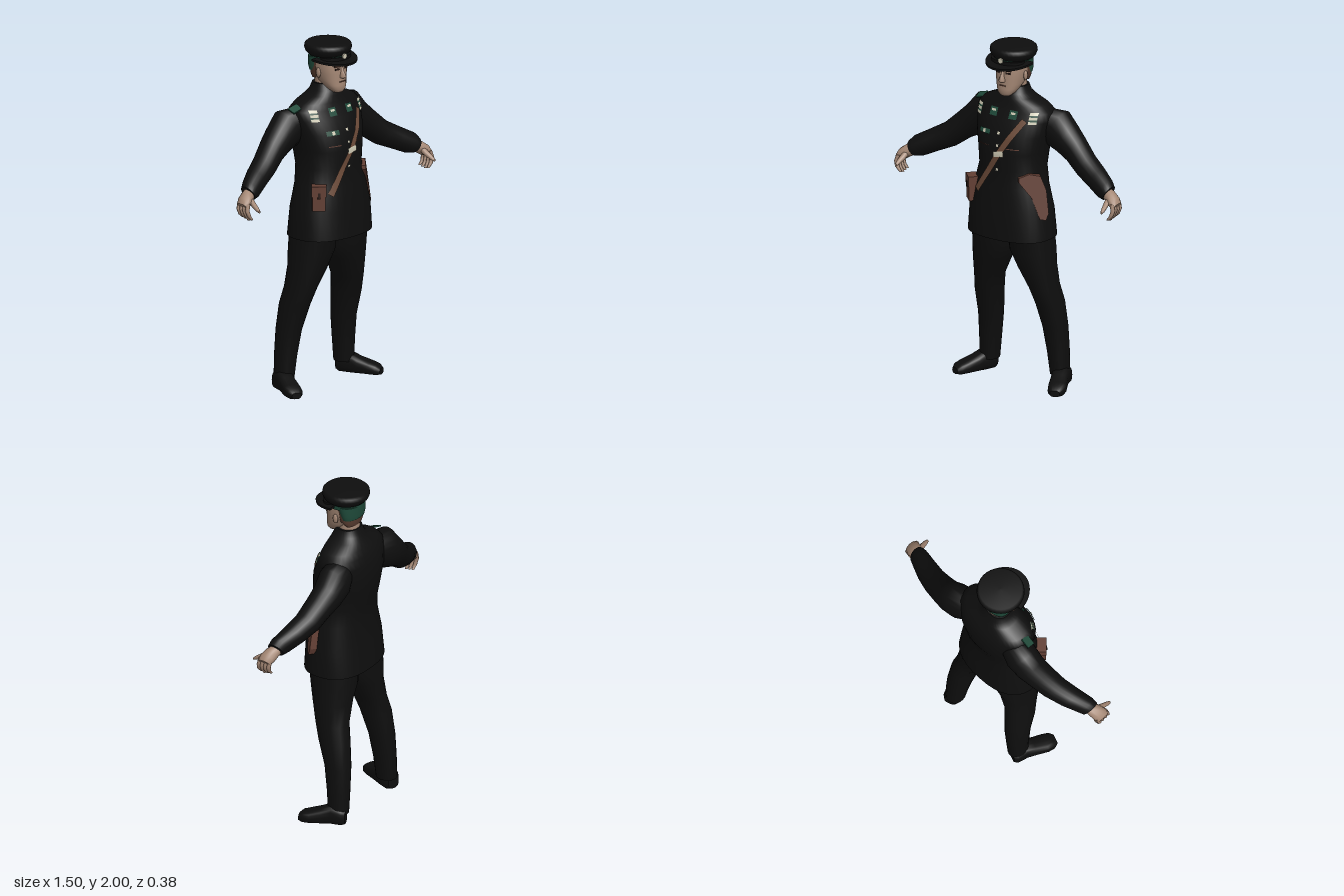
import * as THREE from 'three';

const mat = (name, color, side = THREE.FrontSide) => {
  const m = new THREE.MeshStandardMaterial({ color, side });
  m.name = name;
  return m;
};
const M = {
  cloth: mat('black cloth', 0x0e0e0e),
  green: mat('dark green', 0x1f4a3a),
  skin: mat('skin', 0xa58875),
  hair: mat('brown hair', 0x573c30),
  leather: mat('brown leather', 0x633f34),
  strap: mat('tan leather', 0x6b4a38, THREE.DoubleSide),
  pale: mat('pale metal', 0xcfcab4),
  dark: mat('dark detail', 0x2b1d18),
};

// Skin superellipse rings [cx, cy, cz, ra, rb] spread along axes A and B; s mirrors x
function loft(rings, A, B, { n = 20, e = 2, s = 1 } = {}) {
  const a = new THREE.Vector3(A[0] * s, A[1], A[2]).normalize();
  const b = new THREE.Vector3(...B).normalize();
  const pos = [], idx = [];
  const pw = v => Math.sign(v) * Math.abs(v) ** (2 / e);
  const centre = r => new THREE.Vector3(r[0] * s, r[1], r[2]);
  const addRing = r => {
    for (let j = 0; j < n; j++) {
      const t = j / n * Math.PI * 2;
      pos.push(...centre(r).addScaledVector(a, r[3] * pw(Math.cos(t))).addScaledVector(b, r[4] * pw(Math.sin(t))));
    }
  };
  rings.forEach(addRing);
  const last = rings[rings.length - 1];
  const flip = a.clone().cross(b).dot(centre(last).sub(centre(rings[0]))) < 0;
  const tri = (p, q, r) => flip ? idx.push(p, r, q) : idx.push(p, q, r);
  for (let i = 0; i < rings.length - 1; i++) for (let j = 0; j < n; j++) {
    const k = (j + 1) % n, o = i * n, u = o + n;
    tri(o + j, o + k, u + k);
    tri(o + j, u + k, u + j);
  }
  // Separate end caps
  [rings[0], last].forEach((r, end) => {
    const o = pos.length / 3;
    addRing(r);
    pos.push(...centre(r));
    for (let j = 0; j < n; j++) {
      const k = (j + 1) % n;
      end ? tri(o + j, o + k, o + n) : tri(o + k, o + j, o + n);
    }
  });
  const g = new THREE.BufferGeometry();
  g.setAttribute('position', new THREE.Float32BufferAttribute(pos, 3));
  g.setIndex(idx);
  g.computeVertexNormals();
  return g;
}
const X = [1, 0, 0], Y = [0, 1, 0], Z = [0, 0, 1];
// Upright section: height, half width, front z, back z, centre x
const upright = ([y, rx, zf, zb, cx = 0]) => [cx, y, (zf + zb) / 2, rx, (zf - zb) / 2];

const TORSO = [
  [0.9, 0.26, 0.19, -0.18], [1.06, 0.248, 0.182, -0.165], [1.2, 0.215, 0.163, -0.148],
  [1.3, 0.192, 0.152, -0.16], [1.4, 0.2, 0.157, -0.18], [1.5, 0.222, 0.142, -0.19],
  [1.58, 0.235, 0.108, -0.18], [1.63, 0.235, 0.085, -0.165], [1.665, 0.2, 0.073, -0.145],
  [1.7, 0.12, 0.063, -0.125], [1.725, 0.086, 0.055, -0.11], [1.765, 0.075, 0.035, -0.092],
];
const E = 2.4;
function frontZ(x, y) {
  let i = 0;
  while (i < TORSO.length - 2 && y > TORSO[i + 1][0]) i++;
  const p = TORSO[i], q = TORSO[i + 1], t = (y - p[0]) / (q[0] - p[0]);
  const [, rx, zf, zb] = p.map((v, k) => v + (q[k] - v) * t);
  return (zf + zb) / 2 + (zf - zb) / 2 * Math.max(0, 1 - Math.abs(x / rx) ** E) ** (1 / E);
}
// Thin plate draped over the chest
function patch(x, y, w, h, off = 0.006, angle = 0) {
  const g = new THREE.PlaneGeometry(w, h, Math.ceil(w / 0.015), Math.ceil(h / 0.015));
  g.rotateZ(angle).translate(x, y, 0);
  const p = g.attributes.position;
  for (let i = 0; i < p.count; i++) p.setZ(i, frontZ(p.getX(i), p.getY(i)) + off);
  g.computeVertexNormals();
  return g;
}

export function createModel() {
  const root = new THREE.Group();
  root.name = 'uniformedFigure';
  const add = (name, geo, m, parent = root) => {
    const mesh = new THREE.Mesh(geo, m);
    mesh.name = name;
    parent.add(mesh);
    return mesh;
  };
  const box = (name, w, h, d, x, y, z, m) => {
    const b = add(name, new THREE.BoxGeometry(w, h, d), m);
    b.position.set(x, y, z);
    return b;
  };

  // Jacket
  add('jacket', loft(TORSO.map(upright), X, Z, { n: 36, e: E }), M.cloth);

  // Limbs, mirrored
  for (const s of [1, -1]) {
    const side = s > 0 ? 'left' : 'right';
    add(side + 'Sleeve', loft([
      [0.15, 1.56, -0.07, 0.09, 0.08], [0.235, 1.53, -0.09, 0.118, 0.092], [0.31, 1.475, -0.09, 0.094, 0.086],
      [0.375, 1.43, -0.078, 0.08, 0.08], [0.46, 1.36, -0.055, 0.072, 0.074], [0.55, 1.315, -0.025, 0.066, 0.068],
      [0.63, 1.275, 0.008, 0.062, 0.058], [0.662, 1.258, 0.018, 0.048, 0.05],
    ], [0.5, 0.87, 0], Z, { s }), M.cloth);
    const hand = new THREE.Group();
    hand.name = side + 'Hand';
    root.add(hand);
    add('palm', loft([
      [0.645, 1.262, 0.018, 0.033, 0.034], [0.68, 1.245, 0.03, 0.036, 0.042],
      [0.715, 1.222, 0.04, 0.034, 0.046], [0.738, 1.204, 0.045, 0.02, 0.038],
    ], [0.5, 0.87, 0], Z, { s, n: 12 }), M.skin, hand);
    for (let i = 0; i < 4; i++) {
      const z = 0.012 + i * 0.022;
      add('finger', loft([
        [0.723, 1.222, z, 0.014, 0.012], [0.735, 1.185, z + 0.004, 0.013, 0.012],
        [0.724, 1.152, z + 0.008, 0.013, 0.011], [0.703, 1.122 + Math.abs(i - 2) * 0.005, z + 0.008, 0.009, 0.008],
      ], X, Z, { s, n: 8 }), M.skin, hand);
    }
    add('thumb', loft([
      [0.685, 1.235, 0.055, 0.018, 0.022], [0.69, 1.212, 0.09, 0.016, 0.018],
      [0.695, 1.195, 0.12, 0.013, 0.014], [0.697, 1.183, 0.142, 0.007, 0.008],
    ], X, Y, { s, n: 8 }), M.skin, hand);

    add(side + 'Trouser', loft([
      [0.96, 0.12, 0.14, -0.14, 0.12], [0.82, 0.126, 0.118, -0.145, 0.125], [0.72, 0.107, 0.092, -0.132, 0.15],
      [0.6, 0.077, 0.06, -0.14, 0.185], [0.5, 0.075, 0.025, -0.16, 0.205], [0.35, 0.068, -0.025, -0.175, 0.218],
      [0.2, 0.06, -0.047, -0.178, 0.23], [0.07, 0.053, -0.058, -0.177, 0.238],
    ].map(upright), X, Z, { s, e: 2.2 }), M.cloth);
    add(side + 'Boot', loft([
      [0.237, 0.052, -0.166, 0.034, 0.045], [0.242, 0.055, -0.145, 0.05, 0.055], [0.26, 0.06, -0.09, 0.05, 0.06],
      [0.285, 0.047, -0.04, 0.05, 0.047], [0.315, 0.036, 0.02, 0.053, 0.036], [0.33, 0.03, 0.057, 0.047, 0.03],
      [0.338, 0.022, 0.08, 0.028, 0.018],
    ], [0.93, 0, -0.37], Y, { s, e: 2.8 }), M.cloth);

    // Chest badges
    for (const y of [1.635, 1.611, 1.587]) add('shoulderBar', patch(s * 0.18, y, 0.04, 0.015, 0.007), M.pale);
    add('shoulderBacking', patch(s * 0.18, 1.611, 0.04, 0.06, 0.004), M.green);
    add('collarPatch', patch(s * 0.065, 1.62, 0.05, 0.046), M.green);
    add('collarBadge', patch(s * 0.065, 1.628, 0.028, 0.012, 0.009), M.pale);
    add('pocketSeam', patch(s * 0.095, 1.435, 0.075, 0.005), M.leather);

    // Ears, eyes and brows
    const ear = add(side + 'Ear', new THREE.SphereGeometry(0.024, 10, 8), M.skin);
    ear.scale.set(0.4, 1.2, 0.7);
    ear.position.set(s * 0.089, 1.835, 0.005);
    box(side + 'Eye', 0.028, 0.009, 0.008, s * 0.034, 1.86, 0.098, M.dark).rotation.y = s * 0.25;
    box(side + 'Brow', 0.036, 0.008, 0.009, s * 0.036, 1.877, 0.1, M.hair).rotation.y = s * 0.25;
  }
  const armPatch = box('shoulderPatch', 0.06, 0.009, 0.05, -0.235, 1.645, -0.035, M.green);
  armPatch.rotation.set(0.35, 0, 0.3);

  // Ribbon bar and buttons
  add('ribbonBar', patch(-0.1, 1.51, 0.08, 0.026), M.green);
  add('ribbonCentre', patch(-0.1, 1.51, 0.018, 0.02, 0.009), M.pale);
  for (const y of [1.515, 1.445, 1.305, 1.2]) {
    if (y > 1.25) add('button', patch(0, y, 0.016, 0.014), M.pale);
  }

  // Cross strap and buckle
  const dx = 0.28, dy = 0.44, ang = Math.atan2(dy, dx);
  add('crossStrap', patch(0, 1.38, Math.hypot(dx, dy), 0.036, 0.009, ang), M.strap);
  add('strapBuckle', patch(0.015, 1.4, 0.066, 0.032, 0.014, 0.15), M.pale);

  // Holster on the left hip, leaning out toward its tip
  const shape = new THREE.Shape([[0, 1.25], [0.07, 1.16], [0.115, 1.035], [0.15, 1.03], [0.165, 1.07],
    [0.155, 1.2], [0.125, 1.28], [0.06, 1.295], [0, 1.275]].map(p => new THREE.Vector2(...p)));
  const hg = new THREE.ExtrudeGeometry(shape, { depth: 0.04, bevelEnabled: false });
  const hp = hg.attributes.position;
  for (let i = 0; i < hp.count; i++) hp.setZ(i, hp.getZ(i) + (1.29 - hp.getY(i)) * 0.13);
  hg.computeVertexNormals();
  const holster = add('holster', hg, M.leather);
  holster.rotation.y = Math.PI / 4;
  holster.position.set(0.112, 0, 0.118);

  // Pouch on the right hip
  const pouch = new THREE.Group();
  pouch.name = 'pouch';
  pouch.position.set(-0.197, 1.15, 0.115);
  pouch.rotation.set(0, -Math.PI / 4, 0);
  root.add(pouch);
  add('pouchBody', new THREE.BoxGeometry(0.075, 0.14, 0.05), M.leather, pouch);
  add('pouchFlap', new THREE.BoxGeometry(0.085, 0.06, 0.058), M.leather, pouch).position.y = 0.043;
  add('pouchClasp', new THREE.BoxGeometry(0.014, 0.035, 0.006), M.dark, pouch).position.set(0, 0.02, 0.03);

  // Head and neck
  add('neck', loft([[1.7, 0.064, 0.03, -0.088], [1.84, 0.064, 0.03, -0.085]].map(upright), X, Z), M.skin);
  add('head', loft([
    [1.722, 0.03, 0.094, 0.045], [1.74, 0.05, 0.106, 0.01], [1.765, 0.064, 0.106, -0.025], [1.79, 0.073, 0.104, -0.06],
    [1.83, 0.082, 0.105, -0.088], [1.87, 0.088, 0.102, -0.098], [1.94, 0.088, 0.095, -0.098],
  ].map(upright), X, Z, { n: 24, e: 2.3 }), M.skin);
  add('nose', loft([[1.808, 0.016, 0.122, 0.08], [1.818, 0.018, 0.132, 0.08], [1.845, 0.011, 0.117, 0.08],
    [1.875, 0.008, 0.106, 0.08]].map(upright), X, Z, { n: 10 }), M.skin);
  box('mouth', 0.042, 0.006, 0.009, 0, 1.785, 0.103, M.hair);
  add('hair', loft([[1.79, 0.066, -0.03, -0.088], [1.82, 0.086, 0.01, -0.098],
    [1.9, 0.094, 0.035, -0.104]].map(upright), X, Z, { n: 24 }), M.hair);

  // Cap
  add('capNape', loft([[1.838, 0.088, -0.005, -0.104], [1.865, 0.096, 0.005, -0.109],
    [1.92, 0.1, 0.03, -0.112]].map(upright), X, Z, { n: 28 }), M.green);
  add('capBand', loft([[1.9, 0.1, 0.108, -0.112], [1.945, 0.104, 0.11, -0.115]].map(upright), X, Z, { n: 32 }), M.green);
  add('capStrap', loft([[1.905, 0.104, 0.117, -0.02], [1.932, 0.106, 0.118, -0.02]].map(upright), X, Z, { n: 32 }), M.cloth);
  const crown = add('capCrown', new THREE.LatheGeometry([[0.09, 1.93], [0.112, 1.932], [0.126, 1.947], [0.134, 1.968],
    [0.131, 1.987], [0.12, 1.997], [0.001, 2]].map(p => new THREE.Vector2(...p)), 32), M.cloth);
  crown.position.z = -0.007;
  const peak = new THREE.Shape();
  peak.absellipse(0, 0, 0.143, 0.168, 0, Math.PI, false, 0);
  peak.closePath();
  const visor = add('capVisor', new THREE.ExtrudeGeometry(peak, { depth: 0.012, bevelEnabled: false, curveSegments: 20 }), M.cloth);
  visor.rotation.x = Math.PI / 2 + 0.12;
  visor.position.set(0, 1.925, 0.005);
  const badge = add('capBadge', new THREE.CylinderGeometry(0.016, 0.016, 0.008, 10), M.pale);
  badge.rotation.x = Math.PI / 2;
  badge.position.set(0, 1.936, 0.122);
  return root;
}
